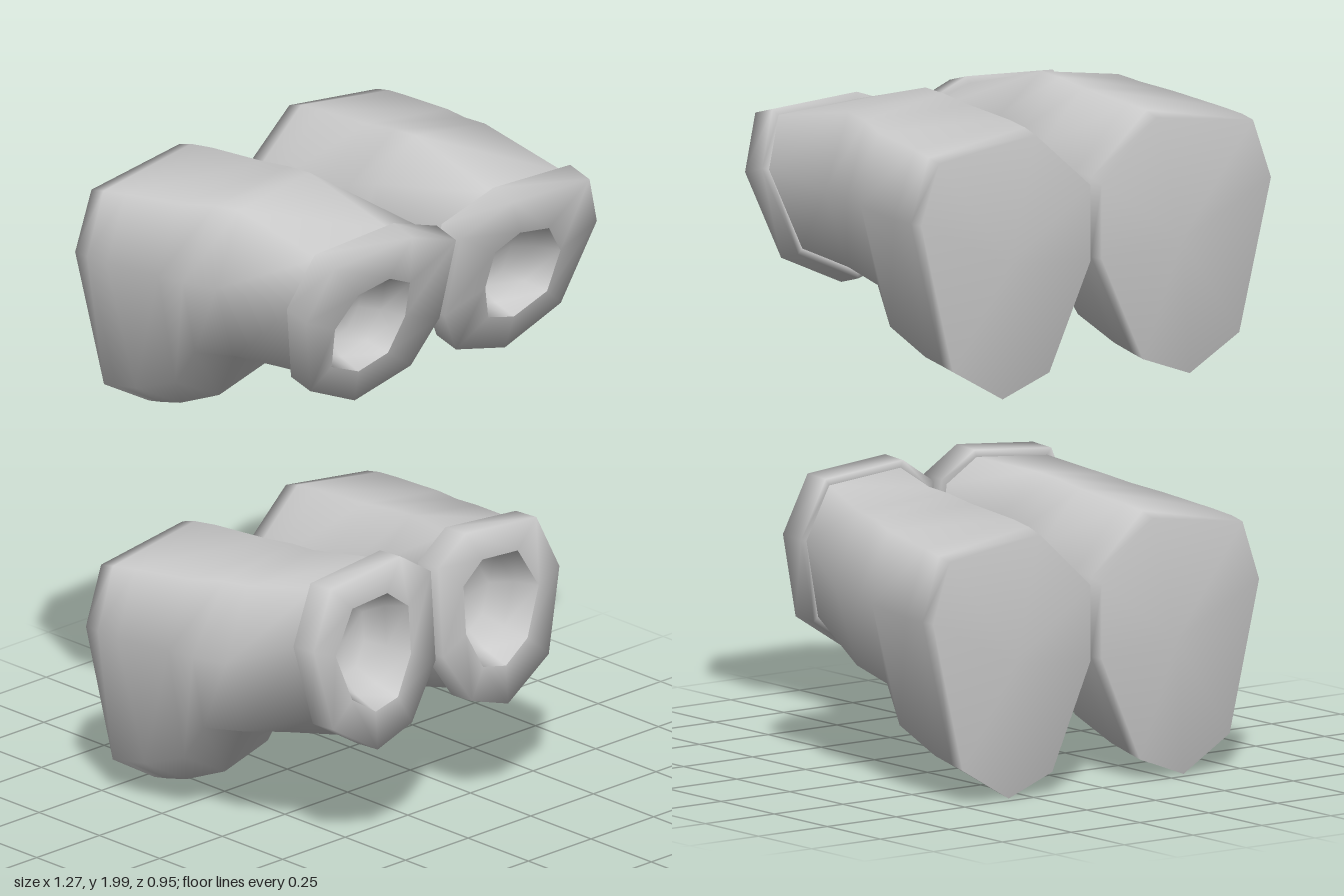
import * as THREE from 'three';

const material = new THREE.MeshStandardMaterial({ color: 0xcccccc });

// Skin a list of rings (ordered front to back, each clockwise seen from the front).
function loft(name, rings, side, { startCap = false, endCap = false } = {}) {
  const n = rings[0].length;
  const points = [];
  const index = [];
  for (const ring of rings) {
    const r = ring.map(([x, y, z]) => [x * side, y, z]);
    points.push(...(side < 0 ? r.reverse() : r));
  }
  for (let k = 0; k < rings.length - 1; k++) {
    for (let i = 0; i < n; i++) {
      const a = k * n + i, b = k * n + (i + 1) % n;
      index.push(a, b, a + n, b, b + n, a + n);
    }
  }
  const cap = (start, flip) => {
    const c = points.length;
    points.push(centre(points.slice(start, start + n)));
    for (let i = 0; i < n; i++) {
      const a = start + i, b = start + (i + 1) % n;
      index.push(c, flip ? b : a, flip ? a : b);
    }
  };
  if (startCap) cap(0, true);
  if (endCap) cap((rings.length - 1) * n, false);
  const geometry = new THREE.BufferGeometry();
  geometry.setAttribute('position', new THREE.Float32BufferAttribute(points.flat(), 3));
  geometry.setIndex(index);
  geometry.computeVertexNormals();
  const mesh = new THREE.Mesh(geometry, material);
  mesh.name = name;
  return mesh;
}

const centre = (ring) => [0, 1, 2].map((k) => ring.reduce((s, p) => s + p[k], 0) / ring.length);

// Scale a ring about its centre, then shift it in y and z.
function adjust(ring, scale, dy, dz) {
  const c = centre(ring);
  return ring.map((p) => [
    c[0] + (p[0] - c[0]) * scale,
    c[1] + (p[1] - c[1]) * scale + dy,
    c[2] + (p[2] - c[2]) * scale + dz,
  ]);
}

// Body sections: depth z at height 1.43, lean of the section, outline points
const bodySections = [
  { z: 0.05, lean: 0.02, pts: [[0.21, 2], [0.49, 1.96], [0.58, 1.74], [0.5, 1.51], [0.33, 1.465], [0.14, 1.49], [0.05, 1.6], [0.06, 1.89]] },
  { z: -0.11, lean: 0.15, pts: [[0.21, 1.995], [0.5, 1.95], [0.595, 1.73], [0.51, 1.48], [0.33, 1.43], [0.15, 1.46], [0.04, 1.57], [0.05, 1.86]] },
  { z: -0.17, lean: 0.06, pts: [[0.21, 1.98], [0.535, 1.935], [0.61, 1.73], [0.52, 1.37], [0.34, 1.28], [0.16, 1.33], [0.035, 1.55], [0.035, 1.82]] },
  { z: -0.34, lean: 0, pts: [[0.215, 1.965], [0.56, 1.915], [0.635, 1.72], [0.52, 1.305], [0.34, 1.21], [0.165, 1.27], [0.02, 1.55], [0.02, 1.79]] },
  { z: -0.42, lean: 0, pts: [[0.22, 1.955], [0.57, 1.905], [0.635, 1.72], [0.52, 1.29], [0.34, 1.19], [0.17, 1.25], [0.02, 1.55], [0.02, 1.78]] },
  { z: -0.47, lean: 0, pts: [[0.22, 1.94], [0.57, 1.895], [0.635, 1.72], [0.52, 1.28], [0.34, 1.18], [0.17, 1.24], [0.02, 1.55], [0.02, 1.77]] },
];

// Each tier: body placement, tilted cuff plane, cuff outline and opening outline
const tiers = [
  {
    name: 'upper', drop: 0, narrow: 1,
    plane: (y) => 0.475 + 0.265 * (y - 1.905), back: [0.022, -0.08],
    cuff: [[0.2, 1.915], [0.51, 1.9], [0.58, 1.74], [0.5, 1.49], [0.3, 1.4], [0.09, 1.455], [0.01, 1.59], [0.01, 1.85]],
    hole: [[0.26, 1.795], [0.38, 1.775], [0.45, 1.68], [0.43, 1.55], [0.31, 1.5], [0.2, 1.53], [0.16, 1.64], [0.17, 1.755]],
  },
  {
    name: 'lower', drop: 1.17, narrow: 0.93,
    plane: (y) => 0.355 - 0.073 * (y - 0.88), back: [-0.005, -0.085],
    cuff: [[0.13, 0.875], [0.41, 0.85], [0.49, 0.68], [0.43, 0.43], [0.26, 0.325], [0.12, 0.37], [0.015, 0.53], [0.015, 0.8]],
    hole: [[0.19, 0.78], [0.33, 0.77], [0.405, 0.645], [0.35, 0.5], [0.26, 0.44], [0.17, 0.46], [0.11, 0.575], [0.11, 0.72]],
  },
];

function buildPipe(tier, side) {
  const pipe = new THREE.Group();
  pipe.name = `${tier.name}${side > 0 ? 'Left' : 'Right'}Pipe`;
  const onPlane = ([x, y]) => [x, y, tier.plane(y)];
  const front = tier.cuff.map(onPlane);
  const rim = tier.hole.map(onPlane);
  const rear = adjust(front, 1, ...tier.back);
  const neck = adjust(rear, 0.92, 0, 0);

  // bent body with a closed flat back
  const sections = bodySections.map(({ z, lean, pts }) => pts.map(([x, y]) => [
    0.02 + (x - 0.02) * tier.narrow, y - tier.drop, z + lean * (y - 1.43),
  ]));
  pipe.add(loft('body', [neck, ...sections], side, { endCap: true }));

  // thick collar around the opening
  pipe.add(loft('cuff', [rim, front, rear, neck], side));

  // hollow inside the collar
  const floor = adjust(rim, 0.6, 0, -0.14);
  const middle = adjust(rim, 0.85, 0, -0.08);
  pipe.add(loft('opening', [floor, middle, rim], side, { startCap: true }));
  return pipe;
}

export function createModel() {
  const model = new THREE.Group();
  model.name = 'pipeCluster';
  for (const tier of tiers) {
    for (const side of [1, -1]) model.add(buildPipe(tier, side));
  }
  return model;
}
